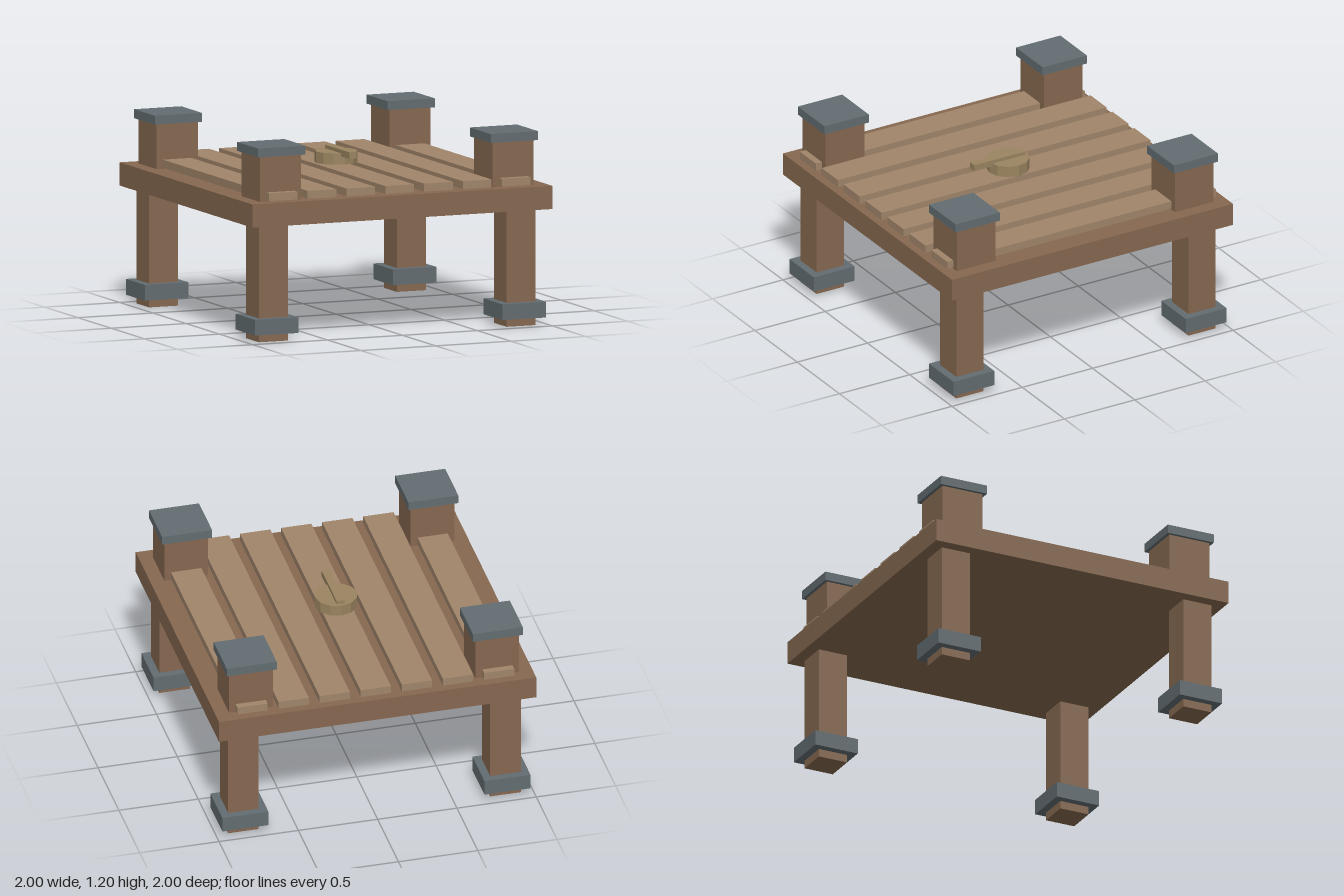
import * as THREE from 'three';

const paint = (color) => new THREE.MeshStandardMaterial({ color, flatShading: true });

export function createModel() {
  const model = new THREE.Group();
  const wood = paint(0x866850);
  const plankWood = paint(0xa0856a);
  const iron = paint(0x626c70);
  const brass = paint(0x9a8460);

  const add = (name, geometry, material, x, y, z) => {
    const mesh = new THREE.Mesh(geometry, material);
    mesh.name = name;
    mesh.position.set(x, y, z);
    model.add(mesh);
  };
  // Box standing between heights y0 and y1
  const box = (name, material, w, d, y0, y1, x = 0, z = 0) =>
    add(name, new THREE.BoxGeometry(w, y1 - y0, d), material, x, (y0 + y1) / 2, z);

  // Platform slab
  box('deck', wood, 2, 2, 0.72, 0.863);

  // Corners: leg with iron cuff below, capped post above
  for (const sx of [-1, 1]) {
    for (const sz of [-1, 1]) {
      const corner = (sx > 0 ? 'left' : 'right') + (sz > 0 ? 'Front' : 'Back');
      box(corner + 'Leg', wood, 0.193, 0.193, 0, 0.72, sx * 0.826, sz * 0.826);
      box(corner + 'Cuff', iron, 0.29, 0.29, 0.05, 0.147, sx * 0.826, sz * 0.826);
      box(corner + 'Post', wood, 0.275, 0.275, 0.863, 1.14, sx * 0.776, sz * 0.776);
      box(corner + 'Cap', iron, 0.315, 0.315, 1.14, 1.195, sx * 0.776, sz * 0.776);
    }
  }

  // Seven planks running front to back, a hair above the deck
  for (let i = -3; i <= 3; i++) {
    box('plank', plankWood, 0.191, 1.913, 0.87, 0.919, i * 0.259, 0);
  }

  // Central dial with its pointer lever
  add('dial', new THREE.CylinderGeometry(0.132, 0.132, 0.07, 12), brass, 0, 0.974, 0);
  box('lever', brass, 0.048, 0.363, 0.99, 1.031, 0, 0.073);

  return model;
}
